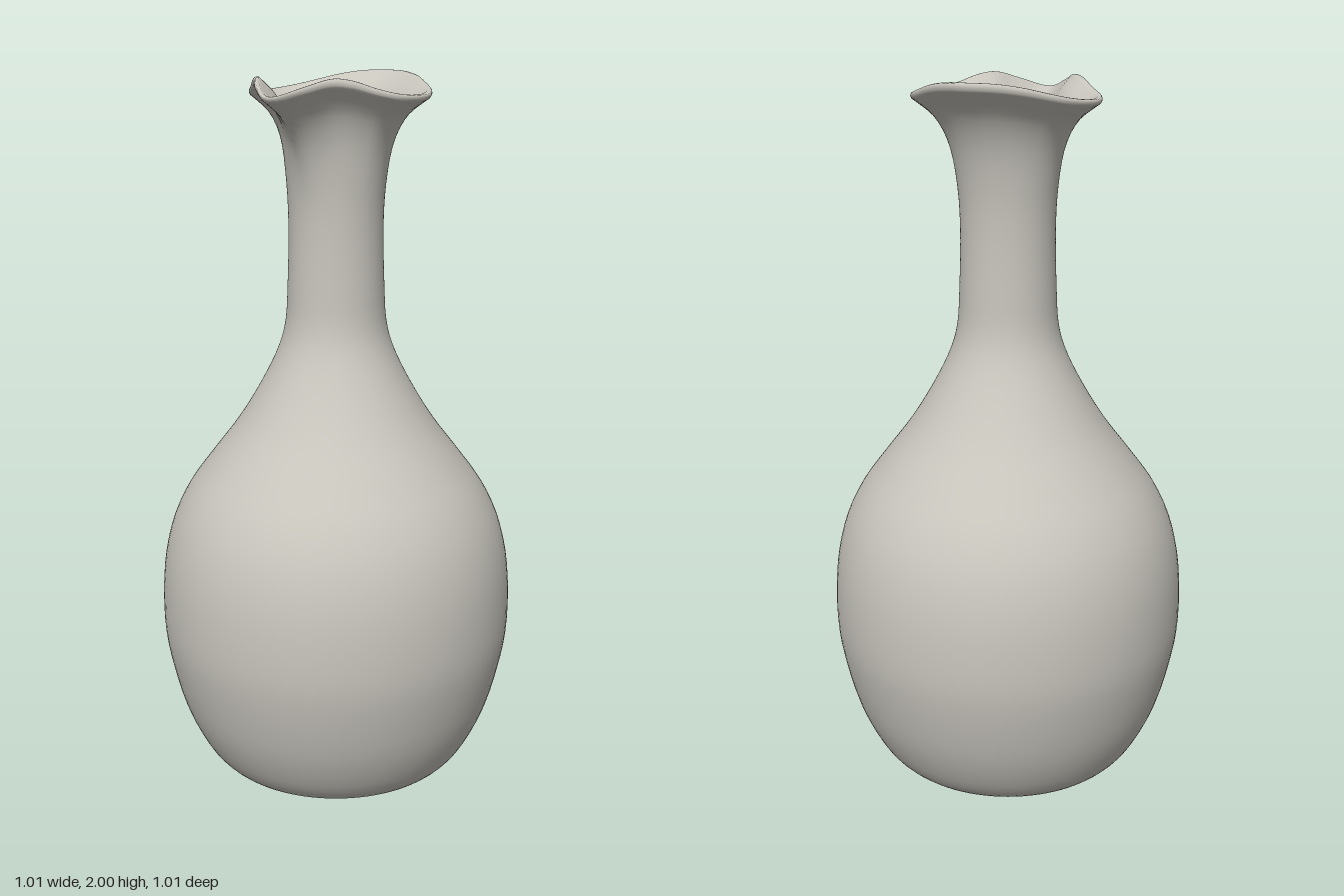
import * as THREE from 'three';
import { mergeVertices } from 'three/addons/utils/BufferGeometryUtils.js';

// Lip radius and height every 15 degrees, from the spout (front) to the back
const LIP_RADIUS = [0.312, 0.274, 0.239, 0.226, 0.23, 0.25, 0.26, 0.262, 0.257, 0.25, 0.255, 0.265, 0.272];
const LIP_HEIGHT = [1.945, 1.968, 1.988, 1.983, 1.965, 1.95, 1.945, 1.948, 1.957, 1.971, 1.985, 1.994, 1.996];
const FLARE_START = 1.55, LIP_Y = 1.95, LIP_R = 0.26;

const mirroredCurve = (values) => new THREE.SplineCurve(
  [1, ...values.keys(), values.length].map((k, i) =>
    new THREE.Vector2(i - 1, values[k === values.length ? k - 2 : k])));

// Value of a lip curve at an angle (0 = front, PI = back)
function sample(curve, angle) {
  const n = curve.points.length - 1;
  return curve.getPoint((Math.abs(angle) / Math.PI * (n - 2) + 1) / n).y;
}

const spline = (pts, n) => new THREE.SplineCurve(pts.map(([r, y]) => new THREE.Vector2(r, y))).getPoints(n);

export function createModel() {
  const group = new THREE.Group();
  group.name = 'carafe';
  const ceramic = new THREE.MeshStandardMaterial({ color: 0xc8c5bd });
  ceramic.name = 'warm grey ceramic';

  // Outer wall, from the foot up to the lip
  const outer = spline([
    [0.31, 0.004], [0.35, 0.02], [0.4, 0.08], [0.455, 0.2], [0.495, 0.36], [0.506, 0.48],
    [0.499, 0.62], [0.472, 0.74], [0.425, 0.84], [0.36, 0.93], [0.28, 1.035], [0.215, 1.14],
    [0.165, 1.24], [0.142, 1.32], [0.135, 1.42], [0.131, 1.58], [0.137, 1.7], [0.157, 1.81],
    [0.195, 1.885], [0.25, 1.93]], 64);

  // Rounded lip
  const lip = spline([[0.256, 1.934], [0.26, 1.942], [0.257, 1.95], [0.246, 1.951]], 6);

  // Inner wall, back down to the inside floor
  const inner = spline([
    [0.236, 1.945], [0.182, 1.905], [0.138, 1.83], [0.115, 1.72], [0.106, 1.58], [0.109, 1.42],
    [0.117, 1.32], [0.14, 1.24], [0.19, 1.14], [0.255, 1.035], [0.335, 0.93], [0.4, 0.84],
    [0.447, 0.74], [0.474, 0.62], [0.48, 0.48], [0.47, 0.36], [0.43, 0.2], [0.375, 0.09],
    [0.31, 0.035]], 56);

  const profile = [
    new THREE.Vector2(0, 0), new THREE.Vector2(0.28, 0),
    ...outer, ...lip, ...inner,
    new THREE.Vector2(0.28, 0.03), new THREE.Vector2(0, 0.03)];

  let geometry = new THREE.LatheGeometry(profile, 96);

  // Pinch the flared mouth into a wavy lip with a pointed spout
  const radiusCurve = mirroredCurve(LIP_RADIUS);
  const heightCurve = mirroredCurve(LIP_HEIGHT);
  const pos = geometry.attributes.position;
  for (let i = 0; i < pos.count; i++) {
    const x = pos.getX(i), y = pos.getY(i), z = pos.getZ(i);
    if (y <= FLARE_START) continue;
    const w = Math.pow((y - FLARE_START) / (LIP_Y - FLARE_START), 3);
    const angle = Math.atan2(x, z);
    const r = Math.hypot(x, z) + w * (sample(radiusCurve, angle) - LIP_R);
    pos.setXYZ(i, r * Math.sin(angle), y + w * (sample(heightCurve, angle) - LIP_Y), r * Math.cos(angle));
  }

  // Weld the seam so the shading is smooth all round
  geometry.deleteAttribute('uv');
  geometry.deleteAttribute('normal');
  geometry = mergeVertices(geometry, 1e-5);
  geometry.computeVertexNormals();

  const body = new THREE.Mesh(geometry, ceramic);
  body.name = 'carafeBody';
  group.add(body);
  return group;
}
